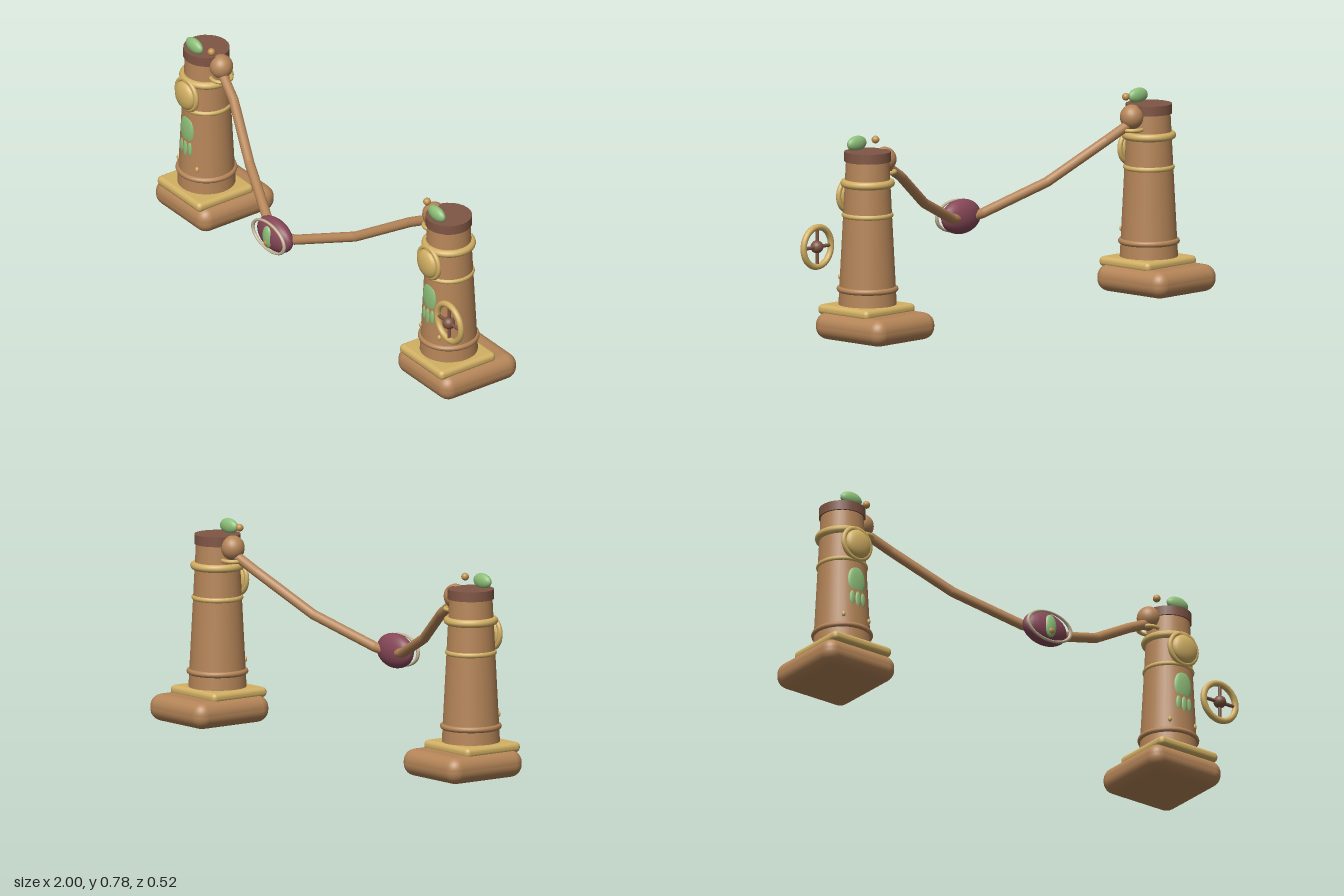
import * as THREE from 'three';
import { RoundedBoxGeometry } from 'three/addons/geometries/RoundedBoxGeometry.js';

const paint = (name, color) => {
  const m = new THREE.MeshStandardMaterial({ color });
  m.name = name;
  return m;
};

export function createModel() {
  const wood = paint('warm wood', 0xb58558);
  const darkWood = paint('dark wood', 0x7f5544);
  const gold = paint('old gold', 0xd2b064);
  const amber = paint('amber', 0xc2924f);
  const green = paint('leaf green', 0x8fc07a);
  const plum = paint('plum', 0x874858);
  const cream = paint('cream', 0xc6b498);

  const model = new THREE.Group();
  model.name = 'ropeBarrier';

  const add = (parent, name, geometry, material, x, y, z) => {
    const mesh = new THREE.Mesh(geometry, material);
    mesh.name = name;
    mesh.position.set(x, y, z);
    parent.add(mesh);
    return mesh;
  };
  const ball = (parent, name, material, x, y, z, rx, ry = rx, rz = rx) => {
    const mesh = add(parent, name, new THREE.SphereGeometry(1, 24, 16), material, x, y, z);
    mesh.scale.set(rx, ry, rz);
    return mesh;
  };
  const ring = (parent, name, material, x, y, z, radius, tube) =>
    add(parent, name, new THREE.TorusGeometry(radius, tube, 10, 36), material, x, y, z);

  // One post; side is the direction of the rope
  function makePost(name, x, side) {
    const post = new THREE.Group();
    post.name = name;
    post.position.x = x;
    model.add(post);
    const cz = -0.04;

    add(post, 'base', new RoundedBoxGeometry(0.34, 0.105, 0.36, 4, 0.048), wood, 0, 0.0525, -0.08);
    add(post, 'plinth', new RoundedBoxGeometry(0.28, 0.04, 0.266, 3, 0.018), gold, 0, 0.113, -0.034);
    add(post, 'column', new THREE.CylinderGeometry(0.083, 0.113, 0.58, 32), wood, 0, 0.41, cz);
    add(post, 'cap', new THREE.CylinderGeometry(0.09, 0.09, 0.038, 24), darkWood, 0, 0.709, cz);

    // Bands round the column
    for (const [bandName, mat, y, r, tube] of [
      ['lowerBand', wood, 0.193, 0.108, 0.0115],
      ['middleBand', gold, 0.481, 0.09, 0.0105],
      ['upperBand', gold, 0.605, 0.09, 0.0155],
    ]) ring(post, bandName, mat, 0, y, cz, r, tube).rotation.x = Math.PI / 2;

    // Medallion on the front
    ball(post, 'medallion', gold, 0, 0.545, 0.062, 0.058, 0.058, 0.025);
    ring(post, 'medallionRing', gold, 0, 0.548, 0.054, 0.063, 0.01);

    // Moss patch with drips and studs
    ball(post, 'mossPatch', green, 0, 0.388, 0.05, 0.041, 0.066, 0.013);
    for (const [dx, y, h] of [[-0.024, 0.312, 0.032], [0, 0.308, 0.037], [0.024, 0.312, 0.032]])
      ball(post, 'mossDrip', green, dx, y, 0.06 - Math.abs(dx) * 0.12, 0.013, h, 0.007);
    for (const s of [-1, 1]) ball(post, 'stud', gold, s * 0.06, 0.237, 0.049, 0.008, 0.011, 0.007);

    // Leaf, bead and rope joint at the top
    ball(post, 'topLeaf', green, 0, 0.752, 0.017, 0.05, 0.03, 0.021);
    ball(post, 'topBead', amber, side * 0.087, 0.759, 0, 0.015);
    ball(post, 'ropeJoint', wood, side * 0.096, 0.686, cz, 0.046, 0.048, 0.046);
    ring(post, 'jointCollar', gold, side * 0.096, 0.637, cz, 0.04, 0.008).rotation.x = Math.PI / 2;
  }
  makePost('rightPost', -0.83, 1);
  makePost('leftPost', 0.75, -1);

  // Rope: straight lengths with rounded bends, mirrored about its middle
  const middle = -0.04;
  const ropeRadius = 0.0195;
  for (const side of [-1, 1]) {
    const points = [[0.695, 0.665, -0.04], [0.575, 0.602, -0.012], [0.345, 0.46, 0.08], [0.085, 0.357, 0.18], [0, 0.345, 0.2]]
      .map(([x, y, z]) => new THREE.Vector3(middle + side * x, y, z));
    for (let i = 1; i < points.length; i++) {
      const a = points[i - 1], b = points[i];
      const length = a.distanceTo(b);
      const mid = a.clone().lerp(b, 0.5);
      const part = add(model, 'rope', new THREE.CylinderGeometry(ropeRadius, ropeRadius, length, 16, 1, true), wood, mid.x, mid.y, mid.z);
      part.quaternion.setFromUnitVectors(new THREE.Vector3(0, 1, 0), b.clone().sub(a).normalize());
      ball(model, 'ropeBend', wood, b.x, b.y, b.z, ropeRadius);
    }
  }

  // Oval badge at the lowest point
  ball(model, 'badge', plum, middle, 0.352, 0.21, 0.102, 0.068, 0.044);
  ring(model, 'badgeRim', cream, middle, 0.352, 0.242, 0.1, 0.008).scale.set(1.02, 0.6, 0.8);
  ball(model, 'badgeLeaf', green, middle, 0.352, 0.246, 0.028, 0.047, 0.014);
  ball(model, 'badgeBead', amber, middle, 0.33, 0.252, 0.014, 0.014, 0.01);

  // Hand wheel beside the left post
  const wheel = new THREE.Group();
  wheel.name = 'handWheel';
  wheel.position.set(0.91, 0.361, 0.075);
  model.add(wheel);
  ring(wheel, 'wheelRim', gold, 0, 0, 0, 0.077, 0.0125);
  ball(wheel, 'wheelHub', darkWood, 0, 0, 0.002, 0.025);
  for (const turn of [0, Math.PI / 2])
    add(wheel, 'wheelSpokes', new THREE.CylinderGeometry(0.007, 0.007, 0.15, 10), darkWood, 0, 0, 0).rotation.z = turn;

  return model;
}
